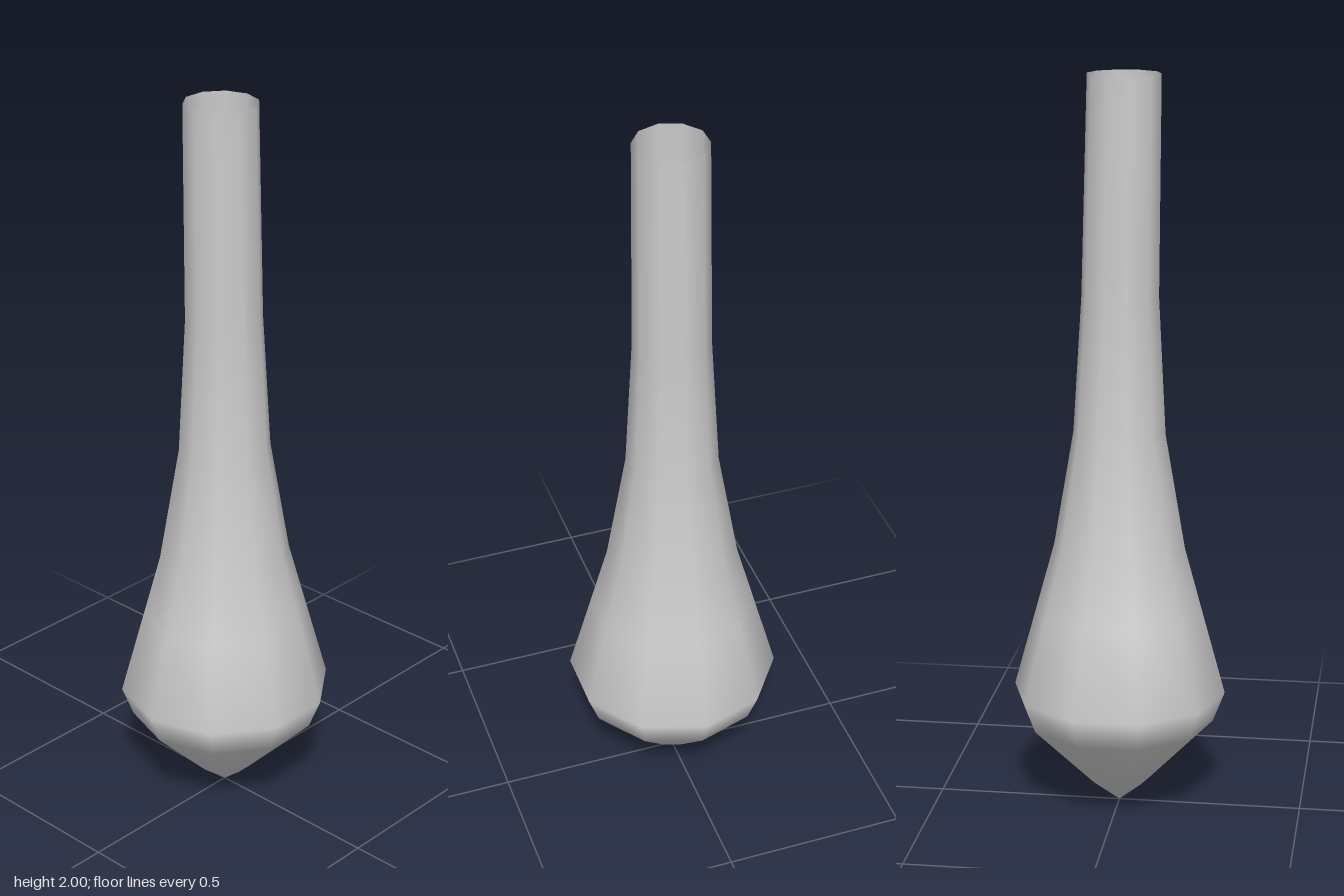
import * as THREE from 'three';

export function createModel() {
  const group = new THREE.Group();
  const material = new THREE.MeshStandardMaterial({ color: 0xcccccc, side: THREE.DoubleSide });

  // Ten-sided hollow shell: pointed base, wide shoulder, slender open neck
  const profile = [
    [0, 0], [0.08, 0.065], [0.258, 0.245], [0.29, 0.328], [0.226, 0.56],
    [0.178, 0.735], [0.124, 1.05], [0.103, 1.42], [0.097, 2],
  ].map(([r, y]) => new THREE.Vector2(r, y));
  const shell = new THREE.LatheGeometry(profile, 10, Math.PI / 2);

  // The neck leans slightly to the model's right towards its rim
  const pos = shell.attributes.position;
  for (let i = 0; i < pos.count; i++) {
    const lean = Math.max(0, (pos.getY(i) - 1.3) / 0.7);
    pos.setX(i, pos.getX(i) - 0.0125 * lean);
    pos.setZ(i, pos.getZ(i) - 0.0015 * lean);
  }

  const body = new THREE.Mesh(shell, material);
  body.name = 'hollowBulbWithNeck';
  group.add(body);
  return group;
}
